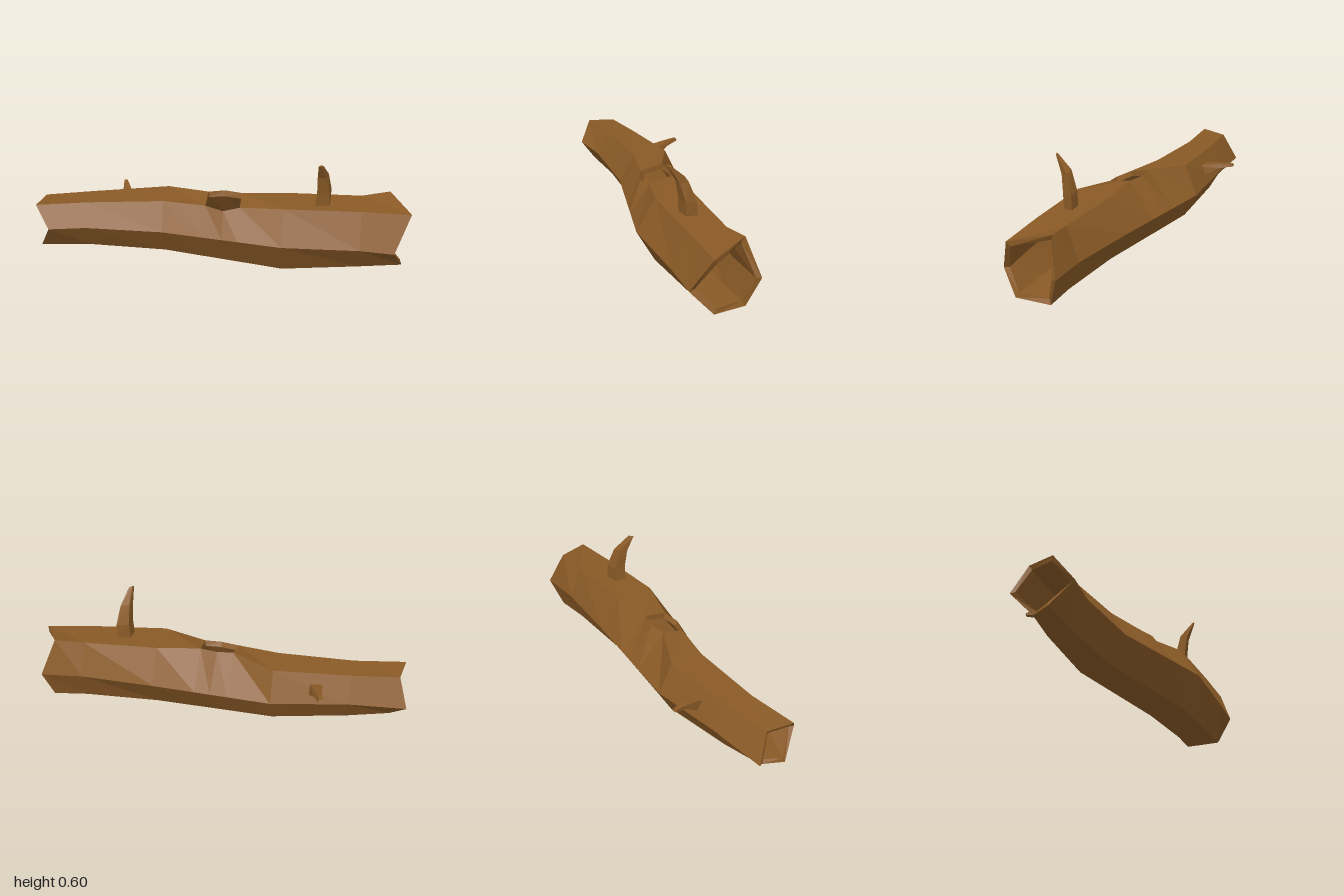
import * as THREE from 'three';

const bark = new THREE.MeshStandardMaterial({ color: 0x8a5a26, flatShading: true });
bark.name = 'barkBrown';

// Collects flat quads and turns them into a mesh
function quadMesh(name, quads) {
  const pos = [];
  for (const [a, b, c, d] of quads) pos.push(...a, ...b, ...c, ...a, ...c, ...d);
  const geo = new THREE.BufferGeometry();
  geo.setAttribute('position', new THREE.Float32BufferAttribute(pos, 3));
  geo.computeVertexNormals();
  const mesh = new THREE.Mesh(geo, bark);
  mesh.name = name;
  return mesh;
}

// Skins consecutive rings (counter-clockwise seen from the last one)
function loft(rings, skip = () => false) {
  const quads = [];
  for (let k = 0; k < rings.length - 1; k++) {
    const a = rings[k], b = rings[k + 1], n = a.length;
    for (let j = 0; j < n; j++) {
      const m = (j + 1) % n;
      if (!skip(k, j)) quads.push([a[j], a[m], b[m], b[j]]);
    }
  }
  return quads;
}

const flip = (quads) => quads.map((q) => [...q].reverse());
const lerpRing = (a, b, t) => a.map((p, j) => p.map((v, i) => v + (b[j][i] - v) * t));
// A ring at constant x from [y, z] pairs
const at = (x, pairs) => pairs.map(([y, z]) => [x, y, z]);

// Shrinks a ring in y and z to give the inner wall
function inset(ring) {
  const cy = ring.reduce((s, p) => s + p[1], 0) / 6;
  const cz = ring.reduce((s, p) => s + p[2], 0) / 6;
  return ring.map(([x, y, z]) => [x * 0.99, cy + (y - cy) * 0.83, cz + (z - cz) * 0.83]);
}

// Corner order: top front, mid front, bottom front, bottom back, mid back, top back
function logRings() {
  const leftEnd = [[-0.97, 0.305, 0.17], [-0.89, 0.2, 0.24], [-0.96, 0.06, 0.145],
    [-0.91, 0.06, 0.03], [-1, 0.15, -0.04], [-0.95, 0.3, 0.025]];
  const a = at(-0.7, [[0.31, 0.115], [0.195, 0.19], [0.055, 0.105], [0.055, -0.03], [0.175, -0.1], [0.31, -0.03]]);
  const b = at(-0.3, [[0.325, 0.08], [0.182, 0.165], [0.035, 0.08], [0.035, -0.1], [0.17, -0.175], [0.33, -0.1]]);
  const c = at(0.34, [[0.35, 0.153], [0.178, 0.255], [0.003, 0.157], [0.003, -0.045], [0.17, -0.15], [0.35, -0.05]]);
  const d = at(0.74, [[0.338, 0.11], [0.155, 0.196], [0.013, 0.1], [0.01, -0.08], [0.17, -0.145], [0.345, -0.075]]);
  const rightEnd = [[1, 0.322, 0.08], [0.92, 0.133, 0.172], [0.967, 0.02, 0.065],
    [0.92, 0.01, -0.11], [0.96, 0.17, -0.172], [0.89, 0.362, -0.11]];
  // Rings around the knot hole, with their top corners drawn to its edge
  const hole = [
    [[-0.073, 0.325, 0.108], [-0.07, 0.352, -0.01]],
    [[0.025, 0.314, 0.14], [0.015, 0.356, -0.028]],
    [[0.11, 0.327, 0.115], [0.108, 0.354, -0.01]],
  ].map(([front, back]) => {
    const r = lerpRing(b, c, (front[0] + 0.3) / 0.64);
    r[0] = front;
    r[5] = back;
    return r;
  });
  return [leftEnd, a, b, ...hole, c, d, rightEnd];
}

function hollowLog() {
  const log = new THREE.Group();
  log.name = 'hollowLog';
  const outer = logRings(), inner = outer.map(inset), last = outer.length - 1;
  const isHole = (k, j) => j === 5 && (k === 3 || k === 4);
  log.add(quadMesh('outerBark', loft(outer, isHole)));
  log.add(quadMesh('innerWall', flip(loft(inner, isHole))));
  // Jagged broken rims at both ends
  log.add(quadMesh('leftRim', loft([inner[0], outer[0]])));
  log.add(quadMesh('rightRim', loft([outer[last], inner[last]])));
  // Thickness of the knot hole
  const edge = [];
  for (const k of [3, 4]) {
    edge.push([outer[k][0], outer[k + 1][0], inner[k + 1][0], inner[k][0]]);
    edge.push([inner[k][5], inner[k + 1][5], outer[k + 1][5], outer[k][5]]);
  }
  edge.push([outer[3][0], inner[3][0], inner[3][5], outer[3][5]]);
  edge.push([outer[5][5], inner[5][5], inner[5][0], outer[5][0]]);
  log.add(quadMesh('knotHoleEdge', edge));
  return log;
}

function branch(name, rings) {
  return quadMesh(name, [...loft(rings), rings[rings.length - 1]]);
}

export function createModel() {
  const model = new THREE.Group();
  model.name = 'fallenLog';
  model.add(hollowLog());
  // Tall branch on top, curving forward
  model.add(branch('topBranch', [
    [[0.5, 0.33, 0.086], [0.573, 0.33, 0.068], [0.577, 0.33, 0.014], [0.505, 0.33, 0.03]],
    [[0.508, 0.425, 0.09], [0.572, 0.415, 0.072], [0.58, 0.42, 0.018], [0.512, 0.425, 0.03]],
    [[0.508, 0.52, 0.107], [0.55, 0.51, 0.095], [0.563, 0.52, 0.055], [0.515, 0.53, 0.06]],
    [[0.512, 0.598, 0.152], [0.525, 0.595, 0.147], [0.535, 0.596, 0.133], [0.518, 0.6, 0.138]],
  ]));
  // Short branch on the back
  model.add(branch('backBranch', [
    [[-0.485, 0.2, -0.095], [-0.558, 0.2, -0.095], [-0.558, 0.265, -0.075], [-0.488, 0.265, -0.075]],
    [[-0.527, 0.26, -0.185], [-0.568, 0.258, -0.18], [-0.568, 0.281, -0.17], [-0.53, 0.282, -0.172]],
    [[-0.562, 0.274, -0.256], [-0.582, 0.276, -0.252], [-0.58, 0.288, -0.246], [-0.563, 0.29, -0.248]],
  ]));
  return model;
}
